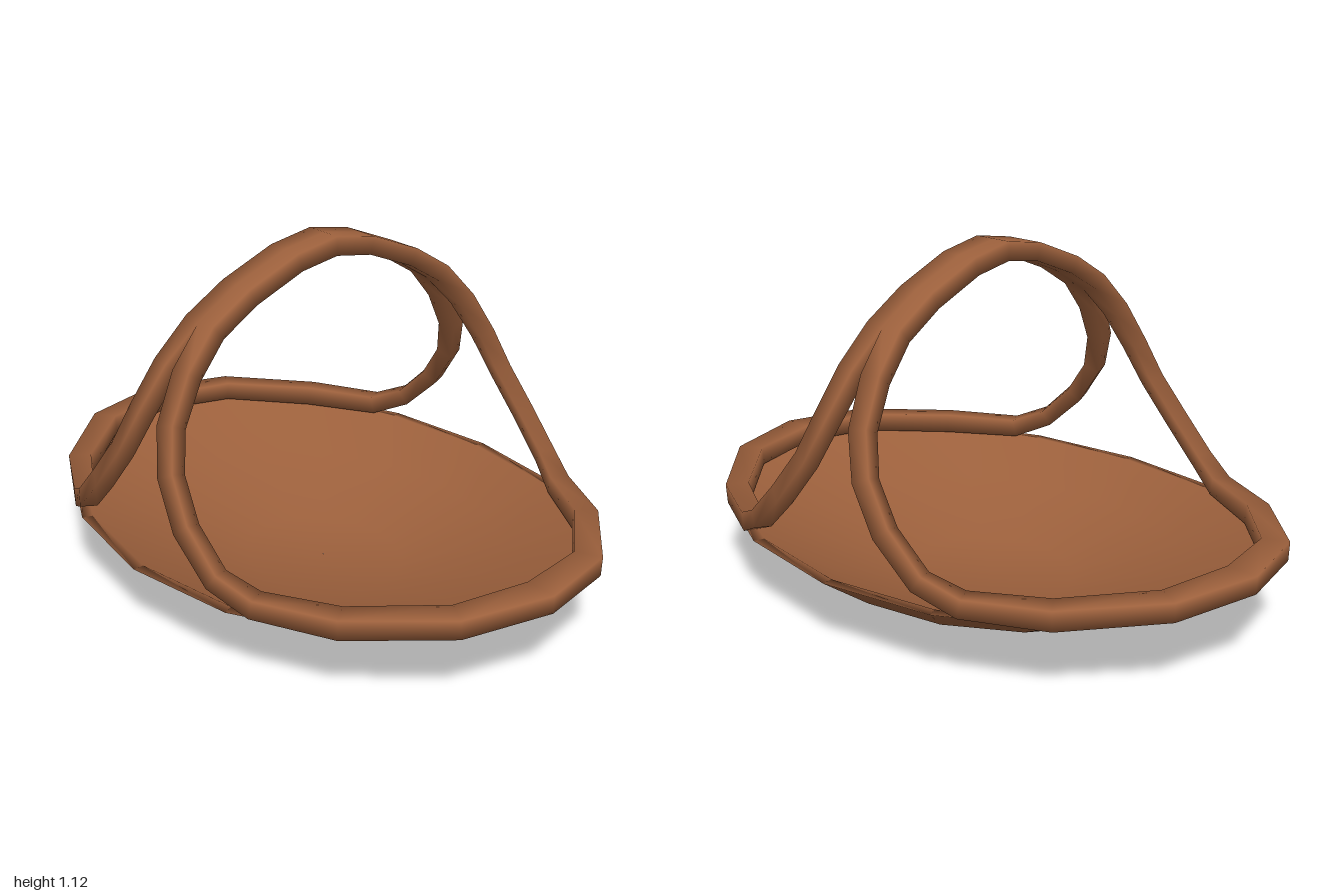
import * as THREE from 'three';

const material = new THREE.MeshStandardMaterial({ color: 0x9c603c });

// Skins rows of equally many points into one smooth indexed surface.
function skin(rows, closeRows) {
  const n = rows[0].length, m = rows.length, index = [];
  for (let i = 0; i < (closeRows ? m : m - 1); i++) {
    for (let j = 0; j < n; j++) {
      const a = i * n + j, b = i * n + (j + 1) % n;
      const c = ((i + 1) % m) * n + j, d = ((i + 1) % m) * n + (j + 1) % n;
      index.push(a, b, c, b, d, c);
    }
  }
  const geometry = new THREE.BufferGeometry();
  geometry.setAttribute('position', new THREE.Float32BufferAttribute(rows.flat().flatMap(p => p.toArray()), 3));
  geometry.setIndex(index);
  geometry.computeVertexNormals();
  return geometry;
}

// Oval bowl with a wall thickness, rings of [x radius, z radius, height, extra height at the ends].
const BOWL_RINGS = [
  [0.001, 0.001, 0, 0], [0.29, 0.25, 0, 0], [0.68, 0.55, 0.095, 0.015], [1, 0.725, 0.22, 0.035],
  [0.965, 0.692, 0.222, 0.035], [0.655, 0.53, 0.12, 0.015], [0.28, 0.24, 0.028, 0], [0.001, 0.001, 0.028, 0],
];

function bowlGeometry() {
  return skin(BOWL_RINGS.map(([rx, rz, y, lift]) => Array.from({ length: 16 }, (_, j) => {
    const t = j / 16 * Math.PI * 2;
    return new THREE.Vector3(rx * Math.cos(t), y + lift * Math.cos(t) ** 2, -rz * Math.sin(t));
  })), false);
}

// Closed cane loop from the handle's top down to the rim's end: x, y, z, outward half width, sideways half width.
const HALF_LOOP = [
  [0.033, 1.09, 0, 0.03, 0.033],
  [0.033, 1.066, 0.14, 0.029, 0.033],
  [0.033, 0.995, 0.315, 0.029, 0.033],
  [0.034, 0.915, 0.445, 0.029, 0.034],
  [0.05, 0.806, 0.546, 0.029, 0.033],
  [0.076, 0.675, 0.623, 0.028, 0.031],
  [0.126, 0.55, 0.663, 0.027, 0.029],
  [0.22, 0.425, 0.681, 0.027, 0.029],
  [0.34, 0.312, 0.668, 0.027, 0.028],
  [0.45, 0.26, 0.617, 0.031, 0.03],
  [0.675, 0.258, 0.495, 0.037, 0.032],
  [0.89, 0.273, 0.263, 0.042, 0.03],
  [0.95, 0.281, 0, 0.05, 0.028],
];

// Square section, softened by the smooth normals.
const SECTION = [[1, 1], [-1, 1], [-1, -1], [1, -1]];

function caneGeometry() {
  const back = HALF_LOOP.slice(1, -1).reverse().map(([x, y, z, a, b]) => [x, y, -z, a, b]);
  const loop = [...HALF_LOOP, ...back];
  const points = loop.map(p => new THREE.Vector3(p[0], p[1], p[2]));
  const n = points.length;
  const rows = points.map((p, i) => {
    const before = p.clone().sub(points[(i + n - 1) % n]).normalize();
    const after = points[(i + 1) % n].clone().sub(p).normalize();
    const tangent = before.add(after).normalize();
    const out = new THREE.Vector3(p.y > 0.9 ? 0 : p.x, p.y - 0.3, p.z);
    out.addScaledVector(tangent, -out.dot(tangent)).normalize();
    const across = new THREE.Vector3().crossVectors(tangent, out);
    return SECTION.map(([u, v]) => p.clone()
      .addScaledVector(out, u * loop[i][3])
      .addScaledVector(across, v * loop[i][4]));
  });
  const geometry = skin(rows, true);

  // Shade the two halves as one band where they touch in the handle.
  const { position, normal } = geometry.attributes;
  for (let i = 0; i < position.count; i++) {
    if (Math.abs(position.getX(i)) > 0.005) continue;
    const v = new THREE.Vector3(0, normal.getY(i), normal.getZ(i)).normalize();
    normal.setXYZ(i, v.x, v.y, v.z);
  }
  return geometry;
}

export function createModel() {
  const group = new THREE.Group();
  group.name = 'basket';

  const bowl = new THREE.Mesh(bowlGeometry(), material);
  bowl.name = 'bowl';
  group.add(bowl);

  // The two loops meet in the handle and spread out along the rim.
  const cane = caneGeometry();
  for (const [name, turn] of [['leftHandleAndRim', 0], ['rightHandleAndRim', Math.PI]]) {
    const mesh = new THREE.Mesh(cane, material);
    mesh.name = name;
    mesh.rotation.y = turn;
    group.add(mesh);
  }
  return group;
}
